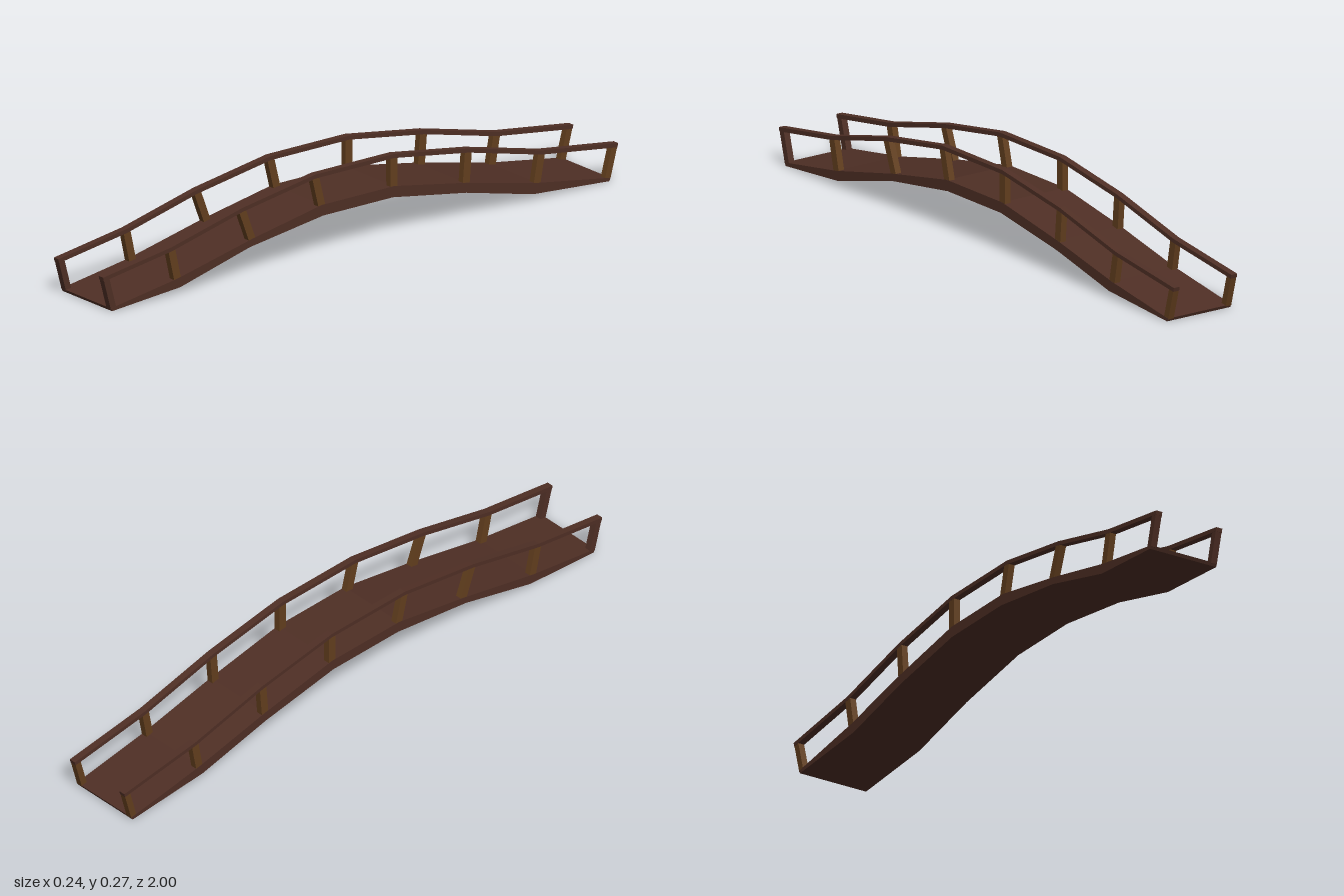
import * as THREE from 'three';

const wood = new THREE.MeshStandardMaterial({ color: 0x4f2f25 });
wood.name = 'dark wood';
const postWood = new THREE.MeshStandardMaterial({ color: 0x633f1e });
postWood.name = 'post wood';

// Stations along the bridge, front to back, as [z, y]
const deckTop = [[0.97, 0.01], [0.71, 0.05], [0.42, 0.115], [0.15, 0.165], [-0.13, 0.165], [-0.41, 0.115], [-0.685, 0.055], [-0.97, 0.01]];
const deckBottom = [[0.965, 0], [0.7, 0.02], [0.43, 0.09], [0.145, 0.13], [-0.125, 0.13], [-0.41, 0.083], [-0.67, 0.022], [-0.965, 0]];
const railTop = [[1, 0.115], [0.735, 0.155], [0.46, 0.222], [0.175, 0.268], [-0.13, 0.268], [-0.42, 0.223], [-0.705, 0.155], [-1, 0.115]];
const railThickness = 0.013;
const halfWidth = 0.12;
const railWidth = 0.022;

// Side outline in (z, y), extruded across x and centred on x
function slab(outline, width, x, material, name) {
  const shape = new THREE.Shape(outline.map(([z, y]) => new THREE.Vector2(z, y)));
  const geometry = new THREE.ExtrudeGeometry(shape, { depth: width, bevelEnabled: false });
  geometry.translate(0, 0, -width / 2);
  geometry.rotateY(-Math.PI / 2);
  const mesh = new THREE.Mesh(geometry, material);
  mesh.position.x = x;
  mesh.name = name;
  return mesh;
}

export function createModel() {
  const group = new THREE.Group();
  group.name = 'footbridge';

  // Arched deck, tapering towards both ends
  group.add(slab([...deckTop, ...[...deckBottom].reverse()], halfWidth * 2, 0, wood, 'deck'));

  const railBottom = railTop.map(([z, y]) => [z * 0.997, y - railThickness]);
  for (const side of [-1, 1]) {
    const sideName = side > 0 ? 'left' : 'right';
    const x = side * (halfWidth - railWidth / 2);

    // Handrail following the arch
    group.add(slab([...railTop, ...[...railBottom].reverse()], railWidth, x, wood, sideName + 'Handrail'));

    // Leaning posts; the front pair is in the dark wood
    deckTop.forEach(([bz, by], i) => {
      const [tz, ty] = railBottom[i];
      const last = deckTop.length - 1;
      const half = i === 0 || i === last ? 0.011 : 0.0135;
      const shift = i === 0 ? -half : i === last ? half : 0;
      const foot = i === 0 || i === last ? by - 0.003 : by - 0.004;
      const outline = [
        [bz + shift - half, foot], [bz + shift + half, foot],
        [tz + shift + half, ty + 0.004], [tz + shift - half, ty + 0.004],
      ];
      group.add(slab(outline, railWidth - 0.001, x, i === 0 ? wood : postWood, sideName + 'Post' + (i + 1)));
    });
  }
  return group;
}
